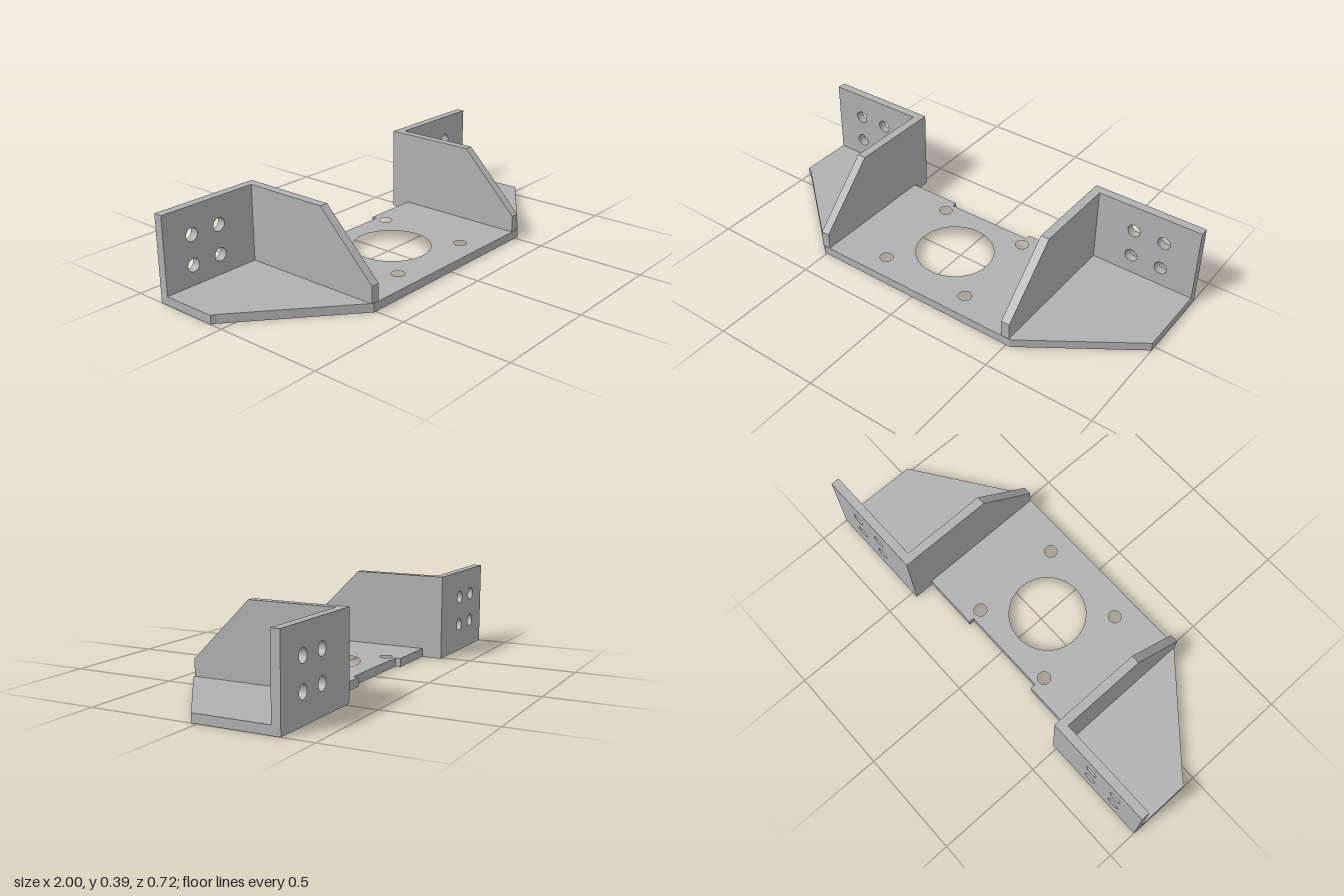
import * as THREE from 'three';

const T = 0.04; // sheet thickness

// Plate from an outline and round holes [x, y, radius]
function plate(points, holes, depth) {
  const shape = new THREE.Shape(points.map(([x, y]) => new THREE.Vector2(x, y)));
  for (const [x, y, r] of holes) {
    shape.holes.push(new THREE.Path().absarc(x, y, r, 0, Math.PI * 2, true));
  }
  return new THREE.ExtrudeGeometry(shape, { depth, bevelEnabled: false, curveSegments: 32 });
}

export function createModel() {
  const group = new THREE.Group();
  group.name = 'motorBracket';
  const metal = new THREE.MeshStandardMaterial({ color: 0xb0b0b0 });
  metal.name = 'greyMetal';

  const add = (name, geometry) => {
    const mesh = new THREE.Mesh(geometry, metal);
    mesh.name = name;
    group.add(mesh);
  };

  // Base plate, outline given as [x, z]
  const outline = [
    [-1, -0.36], [-0.48, -0.36], [-0.48, -0.265], [-0.225, -0.265], [-0.225, -0.24],
    [0.2, -0.24], [0.2, -0.265], [0.472, -0.265], [0.472, -0.36], [1, -0.36],
    [1, 0.025], [0.52, 0.357], [-0.51, 0.357], [-0.98, -0.05], [-1, -0.06],
  ];
  const baseHoles = [[-0.01, -0.03, 0.178]];
  for (const x of [-0.23, 0.21]) for (const z of [-0.19, 0.25]) baseHoles.push([x, -z, 0.03]);
  const base = plate(outline.map(([x, z]) => [x, -z]), baseHoles, T);
  base.rotateX(-Math.PI / 2);
  add('basePlate', base);

  // Each side: upright mounting plate with four holes, and a sloped rib
  const sides = [
    { name: 'right', x0: -1, x1: -0.48, rib: -0.48, holes: [-0.855, -0.71] },
    { name: 'left', x0: 0.472, x1: 1, rib: 0.512, holes: [0.695, 0.84] },
  ];
  for (const s of sides) {
    const holes = [];
    for (const x of s.holes) for (const y of [0.13, 0.265]) holes.push([x, y, 0.03]);
    const upright = plate([[s.x0, T], [s.x1, T], [s.x1, 0.39], [s.x0, 0.39]], holes, T);
    upright.translate(0, 0, -0.36);
    add(s.name + 'MountingPlate', upright);

    // Rib profile given as [z, y]
    const rib = plate([[-0.32, T], [0.355, T], [0.355, 0.117], [0.082, 0.39], [-0.32, 0.39]], [], T);
    rib.rotateY(-Math.PI / 2).translate(s.rib, 0, 0);
    add(s.name + 'Rib', rib);
  }
  return group;
}
